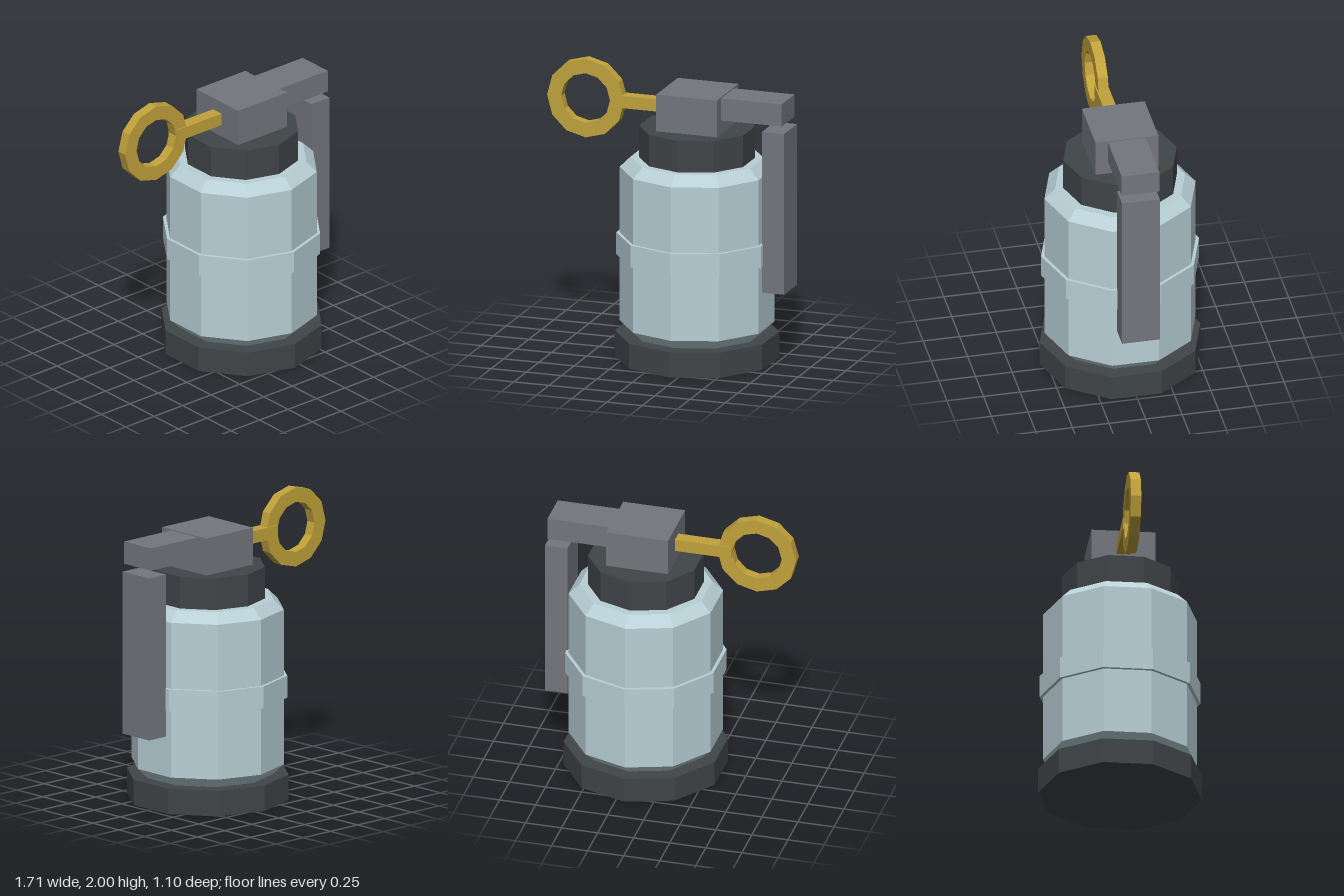
import * as THREE from 'three';

function material(name, color) {
  const m = new THREE.MeshStandardMaterial({ color, flatShading: true });
  m.name = name;
  return m;
}

export function createModel() {
  const model = new THREE.Group();
  model.name = 'grenade';

  const paleBlue = material('pale blue', 0xb8d0d6);
  const charcoal = material('charcoal', 0x404548);
  const steel = material('steel grey', 0x74767e);
  const brass = material('brass', 0xc1a23b);

  const AXIS_X = 0.193; // the canister stands off centre to leave room for the ring
  const SIDES = 10;

  function add(name, geometry, mat) {
    const mesh = new THREE.Mesh(geometry, mat);
    mesh.name = name;
    model.add(mesh);
    return mesh;
  }

  // Ten-sided turned part from [radius, height] points, bottom to top
  function turned(name, profile, mat) {
    const points = profile.map(([r, y]) => new THREE.Vector2(r, y));
    add(name, new THREE.LatheGeometry(points, SIDES), mat).position.x = AXIS_X;
  }

  // Box given by its x and y limits, centred on z = 0
  function block(name, x0, x1, y0, y1, depth, mat) {
    const mesh = add(name, new THREE.BoxGeometry(x1 - x0, y1 - y0, depth), mat);
    mesh.position.set((x0 + x1) / 2, (y0 + y1) / 2, 0);
  }

  // Canister
  turned('base', [[0, 0], [0.55, 0], [0.55, 0.175], [0, 0.175]], charcoal);
  turned('body', [[0, 0.175], [0.445, 0.175], [0.517, 0.245], [0.517, 1.312], [0.445, 1.382], [0, 1.382]], paleBlue);
  turned('band', [[0.517, 0.705], [0.54, 0.705], [0.54, 0.857], [0.517, 0.857]], paleBlue);
  turned('cap', [[0, 1.382], [0.388, 1.382], [0.388, 1.6], [0, 1.6]], charcoal);

  // Fuse head and safety lever
  block('fuseHead', -0.02, 0.41, 1.6, 1.855, 0.43, steel);
  block('leverArm', 0.41, 0.84, 1.693, 1.847, 0.258, steel);
  block('leverHandle', 0.7, 0.856, 0.525, 1.642, 0.258, steel);

  // Pin and pull ring
  block('pin', -0.41, -0.02, 1.685, 1.77, 0.088, brass);
  const polygon = (Path, radius) => {
    const points = [];
    for (let i = 0; i < 12; i++) {
      const a = (i / 12) * Math.PI * 2;
      points.push(new THREE.Vector2(Math.cos(a) * radius, Math.sin(a) * radius));
    }
    return new Path(points);
  };
  const ringShape = polygon(THREE.Shape, 0.273);
  ringShape.holes.push(polygon(THREE.Path, 0.173));
  const ringGeometry = new THREE.ExtrudeGeometry(ringShape, { depth: 0.07, bevelEnabled: false });
  ringGeometry.translate(-0.585, 1.727, -0.035);
  add('pullRing', ringGeometry, brass);

  return model;
}
